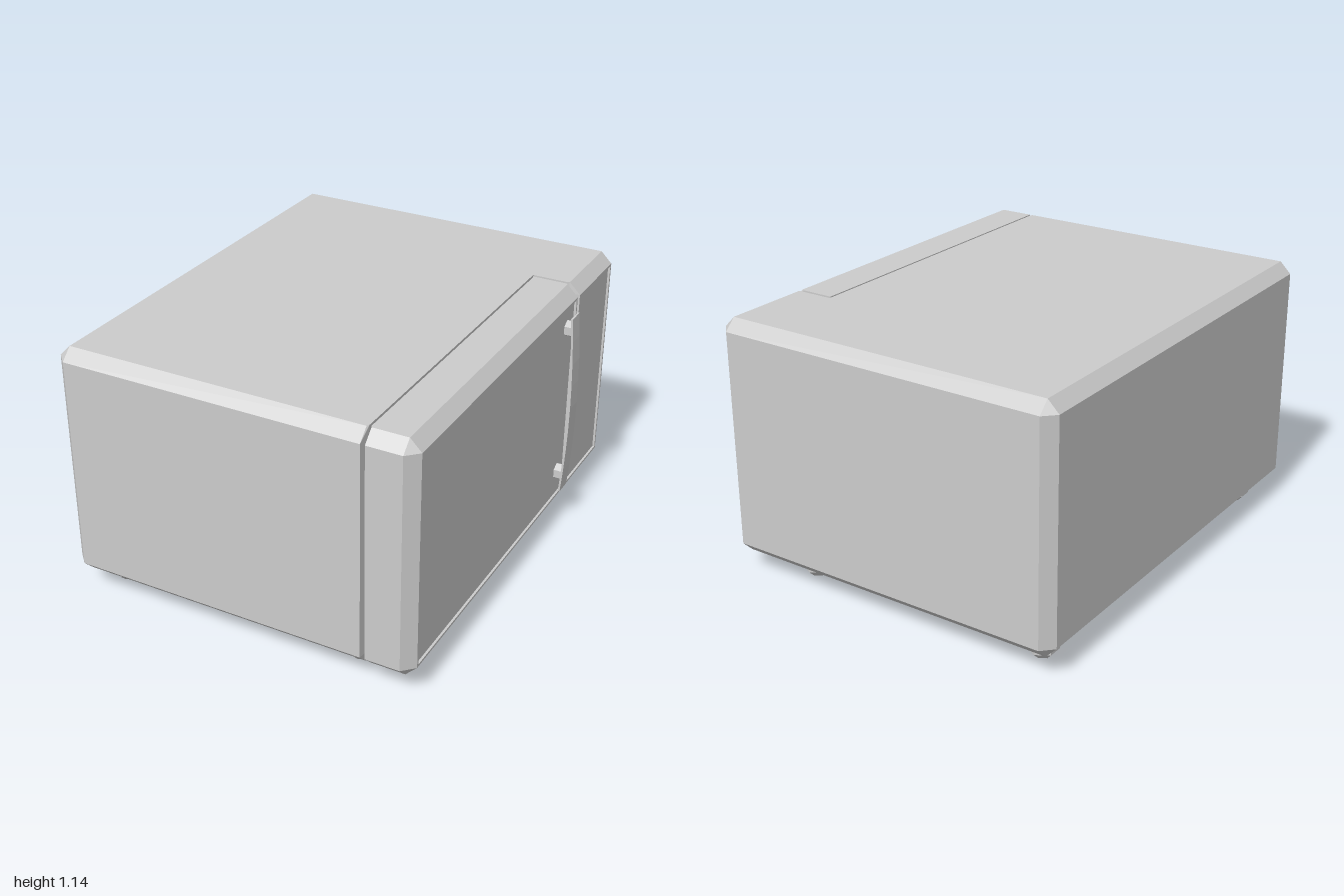
import * as THREE from 'three';

const material = new THREE.MeshStandardMaterial({ color: 0xcccccc, flatShading: true });
const BOTTOM = 0.09, TOP = 1.145, BEVEL = 0.05;

// Skins rings of [x, y, z] points; caps = [{ ring, dir, axes }], skip = side index left open
function loft(rings, caps, skip = -1) {
  const pos = [];
  const v = (p) => new THREE.Vector3(...p);
  const tri = (a, b, c, dir) => {
    const n = v(b).sub(v(a)).cross(v(c).sub(v(a)));
    if (n.length() < 1e-9) return;
    if (dir && n.dot(dir) < 0) pos.push(...a, ...c, ...b);
    else pos.push(...a, ...b, ...c);
  };
  for (let r = 0; r < rings.length - 1; r++) {
    const lo = rings[r], hi = rings[r + 1];
    lo.forEach((a, i) => {
      const j = (i + 1) % lo.length;
      if (i === skip && r === 1) return;
      tri(a, lo[j], hi[j]);
      tri(a, hi[j], hi[i]);
    });
  }
  for (const { ring, dir, axes } of caps) {
    const pts = rings[ring].filter((p, i, all) => v(p).distanceTo(v(all[(i + 1) % all.length])) > 1e-5);
    const flat = pts.map((p) => new THREE.Vector2(p[axes[0]], p[axes[1]]));
    for (const [a, b, c] of THREE.ShapeUtils.triangulateShape(flat, [])) tri(pts[a], pts[b], pts[c], dir);
  }
  const geometry = new THREE.BufferGeometry();
  geometry.setAttribute('position', new THREE.Float32BufferAttribute(pos, 3));
  geometry.computeVertexNormals();
  return geometry;
}

// Bevelled case section from a plan of [x, z, insetX, insetZ], open on one side
function caseSection(plan, skip) {
  const outer = (y) => plan.map(([x, z]) => [x, y, z]);
  const inner = (y) => plan.map(([, , x, z]) => [x, y, z]);
  return loft(
    [inner(BOTTOM), outer(BOTTOM + BEVEL), outer(TOP - BEVEL), inner(TOP)],
    [
      { ring: 0, dir: new THREE.Vector3(0, -1, 0), axes: [0, 2] },
      { ring: 3, dir: new THREE.Vector3(0, 1, 0), axes: [0, 2] },
    ],
    skip,
  );
}

// Shallow recessed panel filling the open side at x = 0.775
function recessedPanel(z0, z1) {
  const rect = (x, m) => {
    const lo = BOTTOM + BEVEL + m, hi = TOP - BEVEL - m;
    return [[x, lo, z0 - m], [x, lo, z1 + m], [x, hi, z1 + m], [x, hi, z0 - m]];
  };
  return loft([rect(0.775, 0), rect(0.775, 0.01), rect(0.765, 0.01)],
    [{ ring: 2, dir: new THREE.Vector3(1, 0, 0), axes: [2, 1] }]);
}

export function createModel() {
  const model = new THREE.Group();
  const add = (name, geometry, parent = model) => {
    const mesh = new THREE.Mesh(geometry, material);
    mesh.name = name;
    parent.add(mesh);
    return mesh;
  };

  // Main case, notched to receive the door
  add('case', caseSection([
    [-0.825, 0.95, -0.775, 0.95], [-0.775, 1, -0.775, 0.95],
    [0.552, 1, 0.552, 0.95], [0.558, 0.94, 0.558, 0.94],
    [0.558, -0.56, 0.558, -0.56], [0.725, -0.56, 0.715, -0.56],
    [0.775, -0.565, 0.725, -0.565], [0.775, -0.95, 0.725, -0.95],
    [0.725, -1, 0.725, -0.95], [-0.775, -1, -0.775, -0.95],
    [-0.825, -0.95, -0.775, -0.95],
  ], 6));
  add('controlPanel', recessedPanel(-0.565, -0.95));

  // Door with its window panel
  const door = new THREE.Group();
  door.name = 'door';
  model.add(door);
  add('doorFrame', caseSection([
    [0.567, 0.94, 0.567, 0.94], [0.572, 1, 0.572, 0.95],
    [0.725, 1, 0.725, 0.95], [0.775, 0.95, 0.725, 0.95],
    [0.775, -0.54, 0.725, -0.54], [0.725, -0.545, 0.715, -0.545],
    [0.567, -0.545, 0.567, -0.545],
  ], 3), door);
  add('doorWindow', recessedPanel(0.95, -0.54), door);

  // Bowed handle bar on two hexagonal posts
  const steps = 8, bow = [];
  for (let i = 0; i <= steps; i++) {
    const t = (i / steps) * 2 - 1;
    bow.push([0.803 + 0.019 * (1 - t * t), 0.6175 + t * 0.4275]);
  }
  const outline = [...bow, ...bow.map(([x, y]) => [x - 0.009, y]).reverse()];
  const bar = new THREE.ExtrudeGeometry(
    new THREE.Shape(outline.map(([x, y]) => new THREE.Vector2(x, y))),
    { depth: 0.08, bevelEnabled: false },
  );
  add('handleBar', bar.translate(0, 0, -0.5), door);
  for (const y of [0.27, 0.982]) {
    const post = new THREE.CylinderGeometry(0.037, 0.037, 0.044, 6, 1, false, Math.PI / 2);
    add('handlePost', post.rotateZ(Math.PI / 2), door).position.set(0.78, y, -0.46);
  }

  // Hexagonal feet tapering at the floor
  const profile = [[0, 0], [0.036, 0], [0.065, 0.028], [0.065, 0.1], [0, 0.1]]
    .map(([x, y]) => new THREE.Vector2(x, y));
  for (const x of [-0.68, 0.465]) {
    for (const z of [-0.82, 0.82]) {
      add('foot', new THREE.LatheGeometry(profile, 6)).position.set(x, 0, z);
    }
  }
  return model;
}
